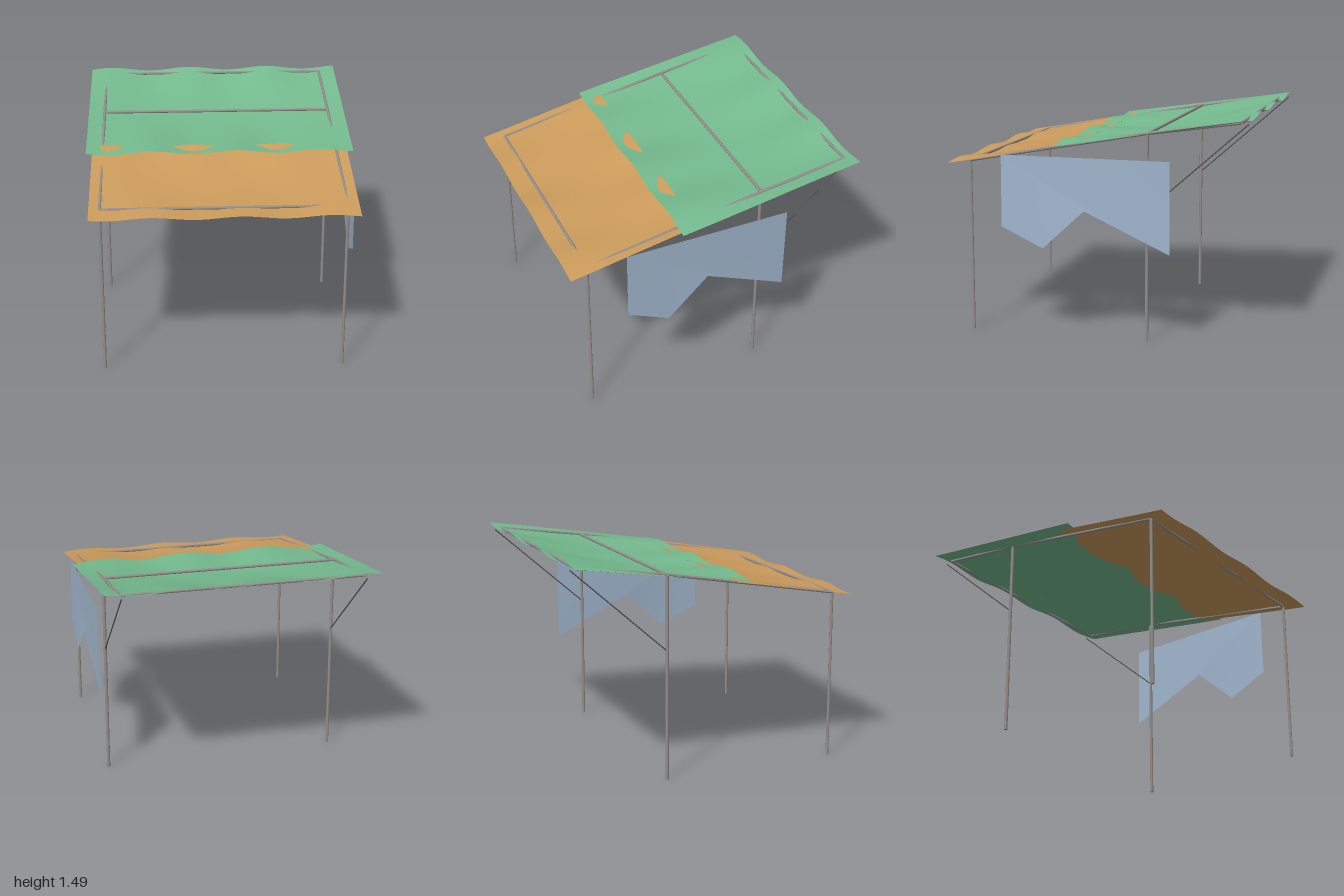
import * as THREE from 'three';

const mat = (name, color, side = THREE.FrontSide) => {
  const m = new THREE.MeshStandardMaterial({ color, side });
  m.name = name;
  return m;
};

export function createModel() {
  const group = new THREE.Group();
  const metal = mat('grey metal', 0x948f8c);
  const cord = mat('dark cord', 0x5a5450);
  const green = mat('green canvas', 0x74ba8e, THREE.DoubleSide);
  const orange = mat('orange canvas', 0xcb9b5b, THREE.DoubleSide);
  const blue = mat('blue cloth', 0xa0b6cd, THREE.DoubleSide);

  const add = (name, geometry, material) => {
    const mesh = new THREE.Mesh(geometry, material);
    mesh.name = name;
    group.add(mesh);
  };

  // Straight round bar between two points
  const bar = (name, a, b, radius, material = metal) => {
    const from = new THREE.Vector3(...a), to = new THREE.Vector3(...b);
    const dir = to.clone().sub(from);
    const g = new THREE.CylinderGeometry(radius, radius, dir.length(), 8);
    g.applyQuaternion(new THREE.Quaternion().setFromUnitVectors(
      new THREE.Vector3(0, 1, 0), dir.normalize()));
    g.translate(...from.add(to).multiplyScalar(0.5).toArray());
    add(name, g, material);
  };

  // Posts, sloping side rails and guy lines, mirrored
  for (const x of [-0.79, 0.79]) {
    bar('frontPost', [x, 0, 0.865], [x, 1.15, 0.865], 0.01);
    bar('backPost', [x, 0, -0.34], [x, 1.37, -0.34], 0.011);
    bar('sideRail', [x, 1.15, 0.865], [x, 1.37, -0.34], 0.01);
    bar('rearRail', [x, 1.37, -0.34], [x, 1.458, -0.945], 0.01);
    bar('guyLine', [x, 1.45, -0.99], [x, 0.87, -0.34], 0.004, cord);
  }

  // Cross bars
  for (const [name, y, z] of [['frontBar', 1.15, 0.865], ['middleBar', 1.37, -0.345], ['rearBar', 1.458, -0.945]])
    bar(name, [-0.79, y, z], [0.79, y, z], 0.01);

  // Sagging, rippled canvas sheet; ripple flips between back and front edge
  const sheet = (name, halfW, zBack, yBack, zFront, yFront, sag, ripple, material) => {
    const g = new THREE.PlaneGeometry(2 * halfW, 1, 36, 20);
    g.rotateX(-Math.PI / 2);
    const p = g.attributes.position;
    for (let i = 0; i < p.count; i++) {
      const x = p.getX(i), u = p.getZ(i) + 0.5, v = x / (2 * halfW) + 0.5;
      const y = yBack + (yFront - yBack) * u
        - sag * Math.sin(Math.PI * u) * Math.sin(Math.PI * v)
        + ripple * Math.cos(11 * (x + 0.18)) * Math.cos(Math.PI * u);
      p.setXYZ(i, x, y, zBack + (zFront - zBack) * u);
    }
    g.computeVertexNormals();
    add(name, g, material);
  };
  sheet('rearCanopy', 0.9, -1, 1.476, 0.255, 1.29, 0.07, 0.012, green);
  sheet('frontCanopy', 0.86, 0.13, 1.29, 1, 1.138, 0.04, 0.009, orange);

  // Torn side cloth, drawn in z and y, with a slight twist at the hem
  const outline = [[0.625, 1.205], [0.625, 0.73], [0.34, 0.6], [0.06, 0.86], [-0.505, 0.6], [-0.505, 1.205]];
  const cloth = new THREE.ShapeGeometry(new THREE.Shape(outline.map(([z, y]) => new THREE.Vector2(-z, y))));
  cloth.rotateY(Math.PI / 2);
  const c = cloth.attributes.position;
  for (let i = 0; i < c.count; i++) {
    const drop = (1.205 - c.getY(i)) / 0.6;
    c.setX(i, 0.862 + 0.011 * drop * Math.cos(3.4 * (c.getZ(i) - 0.34)));
  }
  cloth.computeVertexNormals();
  add('sideCloth', cloth, blue);

  return group;
}
